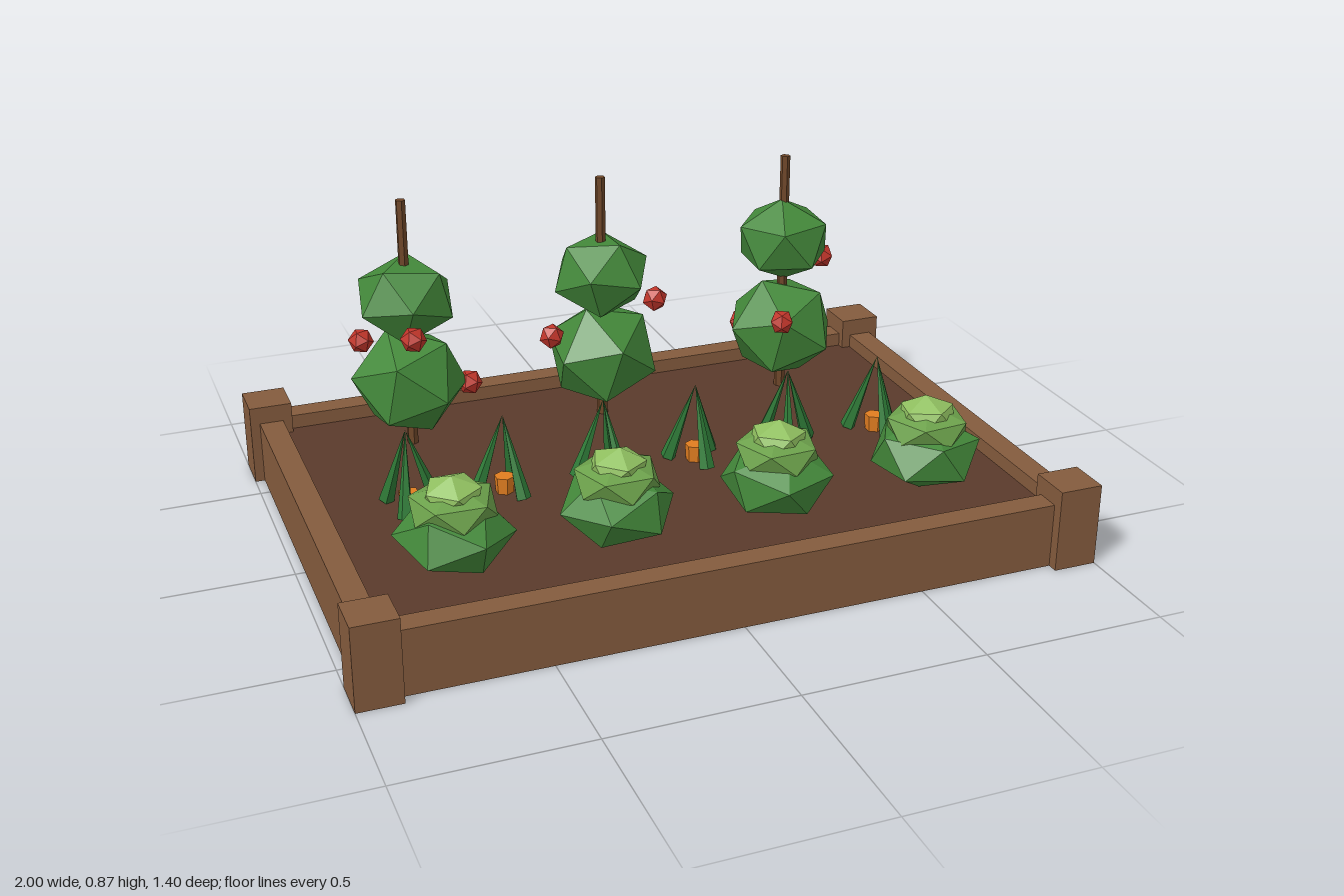
import * as THREE from 'three';

const mat = (name, color) => {
  const m = new THREE.MeshStandardMaterial({ color, flatShading: true });
  m.name = name;
  return m;
};

export function createModel() {
  const wood = mat('wood', 0x845b3d);
  const soilMat = mat('soil', 0x5a3a2b);
  const stakeMat = mat('stake', 0x6f4729);
  const leaf = mat('leaf green', 0x43883a);
  const midLeaf = mat('light leaf', 0x6ca14b);
  const heart = mat('pale leaf', 0x90c060);
  const fronds = mat('frond green', 0x2e7a37);
  const red = mat('tomato red', 0xc0352a);
  const orange = mat('carrot orange', 0xe07d20);

  const root = new THREE.Group();
  root.name = 'gardenBed';
  const add = (parent, name, geo, material, x = 0, y = 0, z = 0) => {
    const m = new THREE.Mesh(geo, material);
    m.name = name;
    m.position.set(x, y, z);
    parent.add(m);
    return m;
  };
  const group = (name, x, z) => {
    const g = new THREE.Group();
    g.name = name;
    g.position.set(x, 0, z);
    root.add(g);
    return g;
  };

  // Faceted blob: turned first, then squashed vertically
  const blob = (r, squash, rx, ry, rz = 0) =>
    new THREE.IcosahedronGeometry(r, 0).rotateX(rx).rotateZ(rz).rotateY(ry).scale(1, squash, 1);
  const POINT_UP = -1.017; // turns one corner of the blob straight up

  // Bed: soil, boards and corner posts
  add(root, 'soil', new THREE.BoxGeometry(1.84, 0.12, 1.24), soilMat, 0, 0.08, 0);
  for (const s of [-1, 1]) {
    add(root, 'longBoard', new THREE.BoxGeometry(1.8, 0.18, 0.067), wood, 0, 0.09, s * 0.637);
    add(root, 'sideBoard', new THREE.BoxGeometry(0.067, 0.18, 1.2), wood, s * 0.94, 0.09, 0);
    for (const t of [-1, 1])
      add(root, 'cornerPost', new THREE.BoxGeometry(0.12, 0.23, 0.12), wood, s * 0.94, 0.115, t * 0.64);
  }

  // Tomato plants: stake, two tiers of foliage, three fruits [x, y, z]
  const tomatoes = [
    { x: -0.574, top: 0.58, turn: 0.4, fruit: [[-0.68, 0.42, -0.515], [-0.595, 0.52, -0.23], [-0.4, 0.3, -0.39]] },
    { x: 0, top: 0.575, turn: 1.5, fruit: [[0.09, 0.3, -0.535], [-0.16, 0.415, -0.365], [0.125, 0.52, -0.285]] },
    { x: 0.572, top: 0.61, turn: 2.7, fruit: [[0.505, 0.3, -0.54], [0.725, 0.52, -0.44], [0.505, 0.41, -0.24]] },
  ];
  for (const { x, top, turn, fruit } of tomatoes) {
    const g = group('tomatoPlant', x, -0.39);
    add(g, 'stake', new THREE.CylinderGeometry(0.014, 0.016, 0.735, 6), stakeMat, 0, 0.4975, 0);
    add(g, 'lowerFoliage', blob(0.168, 0.95, 0.3 + turn, turn, 0.2), leaf, 0, 0.335, 0);
    add(g, 'upperFoliage', blob(0.147, 0.85, 0.9 + turn * 2, turn + 1, 0.5), leaf, 0, top, 0);
    fruit.forEach(([fx, fy, fz]) =>
      add(g, 'tomato', blob(0.037, 1, 0.3, turn), red, fx - x, fy, fz + 0.39));
  }

  // Carrots: root crown with three fronds leaning together at the tip
  const carrots = [[-0.685, 0.15], [-0.42, 0.95], [-0.135, 0.95], [0.135, 0.6], [0.415, 0.2], [0.695, 0.55]];
  const lean = Math.atan2(0.075, 0.22);
  for (const [x, turn] of carrots) {
    const g = group('carrot', x, 0);
    add(g, 'carrotTop', new THREE.CylinderGeometry(0.028, 0.024, 0.06, 6), orange, 0, 0.157, 0);
    for (let i = 0; i < 3; i++) {
      const geo = new THREE.ConeGeometry(0.022, 0.235, 5)
        .translate(0, -0.1175, 0).rotateZ(lean).rotateY(turn + (i * Math.PI * 2) / 3);
      add(g, 'frond', geo, fronds, 0, 0.367, 0);
    }
  }

  // Cabbages: three nested layers, paler towards the heart
  [-0.66, -0.23, 0.215, 0.655].forEach((x, i) => {
    const g = group('cabbage', x, 0.37);
    const turn = i * 1.3 + 0.3;
    add(g, 'outerLeaves', blob(0.156, 0.65, 0.35 + i * 0.2, turn, 0.15), leaf, 0, 0.245, 0);
    add(g, 'innerLeaves', blob(0.123, 0.5, POINT_UP, turn + 0.3), midLeaf, 0, 0.32, 0);
    add(g, 'heart', blob(0.082, 0.7, POINT_UP, turn + 0.9, 0.1), heart, 0, 0.348, 0);
  });

  return root;
}
